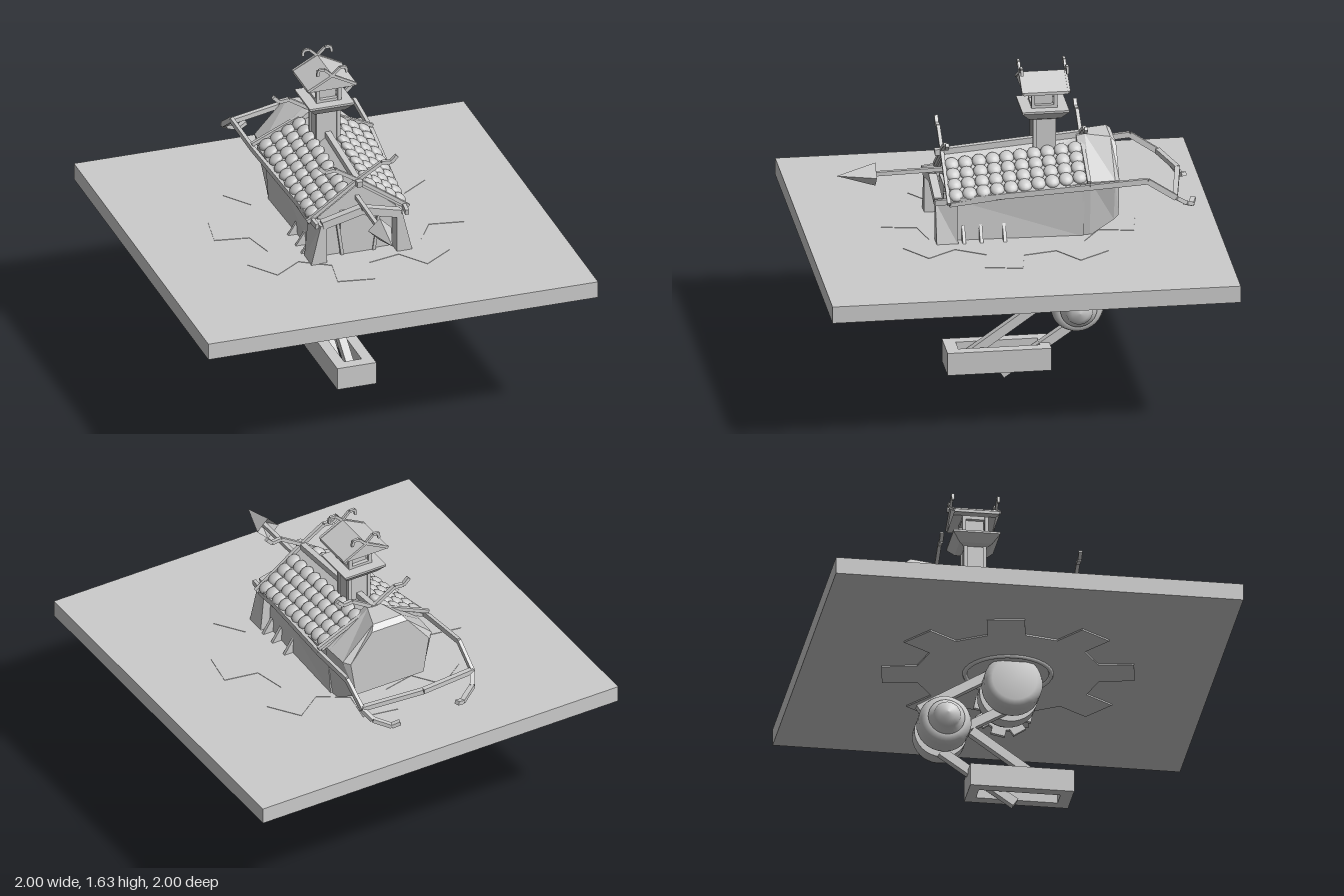
import * as THREE from 'three';

const flat = new THREE.MeshStandardMaterial({ color: 0xcccccc, flatShading: true, side: THREE.DoubleSide });
const smooth = new THREE.MeshStandardMaterial({ color: 0xcccccc, side: THREE.DoubleSide });

export function createModel() {
  const root = new THREE.Group();
  const V = (p) => new THREE.Vector3(...p);

  const add = (name, geo, pos = [0, 0, 0], mat = flat, parent = root) => {
    const m = new THREE.Mesh(geo, mat);
    m.name = name;
    m.position.set(...pos);
    parent.add(m);
    return m;
  };
  const box = (name, w, h, d, pos) => add(name, new THREE.BoxGeometry(w, h, d), pos);
  // square bar between two points
  const bar = (name, a, b, w, h = w) => {
    const m = box(name, w, h, V(a).distanceTo(V(b)), V(a).lerp(V(b), 0.5).toArray());
    m.lookAt(V(b));
    return m;
  };
  const path = (name, pts, w, h) => {
    for (let i = 1; i < pts.length; i++) bar(name, pts[i - 1], pts[i], w, h);
  };
  // solid skinned over matching cross-sections, with flat end caps
  const loft = (name, sections) => {
    const n = sections[0].length, last = (sections.length - 1) * n, idx = [];
    for (let s = 0; s < sections.length - 1; s++) for (let i = 0; i < n; i++) {
      const a = s * n + i, b = s * n + (i + 1) % n;
      idx.push(a, a + n, b, b, a + n, b + n);
    }
    for (let i = 1; i < n - 1; i++) idx.push(0, i, i + 1, last, last + i + 1, last + i);
    const g = new THREE.BufferGeometry();
    g.setAttribute('position', new THREE.Float32BufferAttribute(sections.flat(2), 3));
    g.setIndex(idx);
    return add(name, g.toNonIndexed());
  };
  const gear = (teeth, inner, outer, half, phase) => {
    const s = new THREE.Shape();
    for (let i = 0; i < teeth; i++) {
      const c = phase + i * Math.PI * 2 / teeth, halfIn = Math.asin(half / inner), halfOut = Math.asin(half / outer);
      [[inner, -halfIn], [outer, -halfOut], [outer, halfOut], [inner, halfIn]].forEach(([r, d], k) => {
        s[i + k ? 'lineTo' : 'moveTo'](r * Math.cos(c + d), r * Math.sin(c + d));
      });
    }
    s.closePath();
    return s;
  };
  const extrude = (shape, depth) => new THREE.ExtrudeGeometry(shape, { depth, bevelEnabled: false });

  // ground plate and the big gear set through it
  box('groundPlate', 2, 0.085, 2, [0, 0.762, 0]);
  add('groundGear', extrude(gear(8, 0.45, 0.62, 0.092, 0.17), 0.095), [0, 0.807, 0]).rotation.x = Math.PI / 2;
  add('gearCollar', new THREE.TorusGeometry(0.21, 0.012, 6, 32), [0, 0.712, 0], smooth).rotation.x = Math.PI / 2;

  // house body, with the rear end chamfered underneath
  const section = (z, hb, yb, he, ye, hr, yr) => [[-hb, yb, z], [hb, yb, z], [he, ye, z], [hr, yr, z], [-hr, yr, z], [-he, ye, z]];
  loft('houseBody', [
    section(0.31, 0.21, 0.8, 0.2, 1.02, 0.02, 1.17),
    section(-0.34, 0.23, 0.8, 0.25, 1.09, 0.03, 1.22),
  ]);
  loft('rearBody', [
    section(-0.33, 0.22, 0.8, 0.255, 1.09, 0.03, 1.25),
    section(-0.37, 0.22, 0.8, 0.255, 1.09, 0.04, 1.26),
    section(-0.49, 0.2, 0.87, 0.25, 1.09, 0.08, 1.255),
    section(-0.515, 0.19, 0.89, 0.22, 1.08, 0.1, 1.23),
  ]);

  // front porch: corner posts, door and lintel
  for (const s of [-1, 1]) {
    const post = (z, a, b, c, d) => [[s * a, 0.8, z], [s * b, 0.8, z], [s * c, 1.01, z], [s * d, 1.01, z]];
    loft('porchPost', [post(0.385, 0.18, 0.26, 0.21, 0.18), post(0.28, 0.18, 0.26, 0.24, 0.18)]);
    bar('porchLintel', [s * 0.2, 1.01, 0.37], [0, 1.06, 0.37], 0.04, 0.04);
    bar('doorFrame', [s * 0.08, 0.8, 0.325], [s * 0.11, 1.02, 0.325], 0.015);
    // small buttresses along the walls
    for (const z of [0.25, 0.165, 0.05]) {
      const fin = (dz) => [[s * 0.2, 0.8, z + dz], [s * 0.27, 0.8, z + dz], [s * 0.215, 0.885, z + dz]];
      loft('buttress', [fin(0.008), fin(-0.008)]);
    }
  }
  box('doorPanel', 0.18, 0.24, 0.02, [0, 0.92, 0.315]);

  // roof slopes and rounded tiles
  const roofPoint = (s, u, t, lift) => {
    const z = THREE.MathUtils.lerp(0.32, -0.35, t);
    const half = THREE.MathUtils.lerp(0.25, 0.285, t);
    const eave = THREE.MathUtils.lerp(1.015, 1.1, t), ridge = THREE.MathUtils.lerp(1.19, 1.24, t);
    return [s * half * u, THREE.MathUtils.lerp(ridge, eave, u) + lift, z];
  };
  const tileGeo = new THREE.SphereGeometry(1, 12, 8);
  for (const s of [-1, 1]) {
    const slab = (t) => [roofPoint(s, 0, t, 0), roofPoint(s, 1, t, 0), roofPoint(s, 1, t, -0.02), roofPoint(s, 0, t, -0.02)];
    loft('roofSlope', [slab(0), slab(1)]);
    for (let row = 0; row < 4; row++) for (let col = 0; col < 10; col++) {
      const tile = add('roofTile', tileGeo, roofPoint(s, 0.29 + row * 0.2, (col + 0.5) / 10, 0.008), smooth);
      tile.scale.set(0.038, 0.022, 0.036);
      tile.rotation.z = -s * 0.56;
    }
  }
  bar('ridgeBeam', [0, 1.19, 0.36], [0, 1.25, -0.37], 0.03);

  // crossed gable boards ending in curled horns
  const gable = (z, half, eave, ridge, k, w) => {
    for (const s of [-1, 1]) {
      path('gableBoard', [[s * half, eave, z], [0, ridge, z], [-s * 0.12 * k, ridge + 0.075 * k, z],
        [-s * 0.17 * k, ridge + 0.07 * k, z], [-s * 0.2 * k, ridge + 0.1 * k, z]], w);
    }
  };
  gable(0.325, 0.26, 1.015, 1.2, 1, 0.018);
  gable(-0.355, 0.31, 1.11, 1.25, 1, 0.018);

  // chimney tower with a lantern under a small gabled roof
  const cz = -0.17;
  box('towerShaft', 0.11, 0.26, 0.1, [0, 1.28, cz]);
  for (const sx of [-1, 1]) for (const sz of [-1, 1]) {
    box('towerCorner', 0.018, 0.2, 0.018, [sx * 0.053, 1.29, cz + sz * 0.047]);
    box('lanternPost', 0.018, 0.11, 0.018, [sx * 0.055, 1.46, cz + sz * 0.055]);
  }
  const ring = (h, y) => [[-h, y, cz - h], [h, y, cz - h], [h, y, cz + h], [-h, y, cz + h]];
  loft('towerLedge', [ring(0.06, 1.355), ring(0.08, 1.365), ring(0.115, 1.405), ring(0.115, 1.415)]);
  box('lanternCore', 0.085, 0.1, 0.085, [0, 1.46, cz]);
  for (const y of [1.42, 1.507]) box('lanternFrame', 0.125, 0.018, 0.125, [0, y, cz]);
  const cap = (z) => [[-0.125, 1.505, z], [0, 1.545, z], [0.125, 1.505, z], [0.125, 1.52, z], [0, 1.585, z], [-0.125, 1.52, z]];
  loft('lanternRoof', [cap(-0.06), cap(-0.28)]);
  for (const z of [-0.058, -0.282]) {
    for (const s of [-1, 1]) {
      path('roofHorn', [[s * 0.125, 1.515, z], [0, 1.582, z], [-s * 0.04, 1.62, z], [-s * 0.07, 1.62, z], [-s * 0.075, 1.59, z]], 0.013);
    }
  }

  // side rails that sweep back to a hooked crossbar
  for (const s of [-1, 1]) {
    path('sideRail', [[s * 0.23, 1.015, 0.39], [s * 0.305, 1.085, -0.36], [s * 0.315, 1.105, -0.64], [s * 0.31, 1.01, -0.78]], 0.018, 0.028);
    path('railHook', [[s * 0.31, 1.01, -0.78], [s * 0.28, 0.97, -0.83], [s * 0.2, 0.93, -0.87], [s * 0.16, 0.945, -0.885]], 0.025, 0.02);
    bar('rearCrossbar', [s * 0.31, 1.015, -0.775], [0, 1.04, -0.83], 0.025);
  }

  // arrow pointing forward
  bar('arrowShaft', [0, 1.1, 0.3], [0, 1.09, 0.72], 0.02);
  const headProfile = [[0, 0.84], [0.06, 0.65], [0, 0.72]].map(([r, y]) => new THREE.Vector2(r, y));
  add('arrowHead', new THREE.LatheGeometry(headProfile, 4), [0, 1.09, 0]).rotation.x = Math.PI / 2;

  // paired drums: upper drive and lower joint
  const turned = (name, pts, pos, side = 1) => {
    const m = add(name, new THREE.LatheGeometry(pts.map((p) => new THREE.Vector2(...p)), 32), pos, smooth);
    m.rotation.z = -side * Math.PI / 2;
  };
  const hip = [0, 0.62, 0.01], knee = [0, 0.39, -0.325];
  for (const s of [-1, 1]) {
    for (const [c, r] of [[hip, 0.145], [knee, 0.13]]) {
      turned('drum', [[0, 0.03], [r, 0.03], [r, 0.031], [r, 0.105], [r - 0.01, 0.13], [r - 0.035, 0.147], [0, 0.147]], c, s);
    }
    turned('kneeHub', [[0.09, 0.14], [0.09, 0.155], [0.07, 0.16], [0.065, 0.185], [0.04, 0.208], [0, 0.215]], knee, s);
  }
  for (const c of [hip, knee]) turned('drumCore', [[0, -0.04], [0.1, -0.04], [0.1, 0.04], [0, 0.04]], c);
  const axle = add('driveAxle', new THREE.CylinderGeometry(0.03, 0.03, 0.2, 24), [0.21, 0.62, 0.01]);
  axle.rotation.z = Math.PI / 2;
  add('driveGear', extrude(gear(8, 0.115, 0.148, 0.035, 0.2), 0.02), [0.2, 0.62, 0.01]).rotation.y = Math.PI / 2;

  // leg links and slotted foot
  const link = (a, b) => bar('legLink', [0, ...a], [0, ...b], 0.04, 0.045);
  link([0.69, -0.1], [0.485, -0.44]);
  link([0.54, 0.02], [0.4, -0.22]);
  link([0.39, -0.18], [0.13, 0.19]);
  link([0.27, -0.33], [0.02, 0.035]);
  const foot = new THREE.Shape([[-0.1, -0.31], [0.1, -0.31], [0.1, 0.2], [-0.1, 0.2]].map((p) => new THREE.Vector2(...p)));
  foot.holes.push(new THREE.Path([[-0.045, -0.25], [-0.045, 0.15], [0.045, 0.15], [0.045, -0.25]].map((p) => new THREE.Vector2(...p))));
  add('foot', extrude(foot, 0.115), [0, 0.06, 0]).rotation.x = -Math.PI / 2;

  return root;
}
